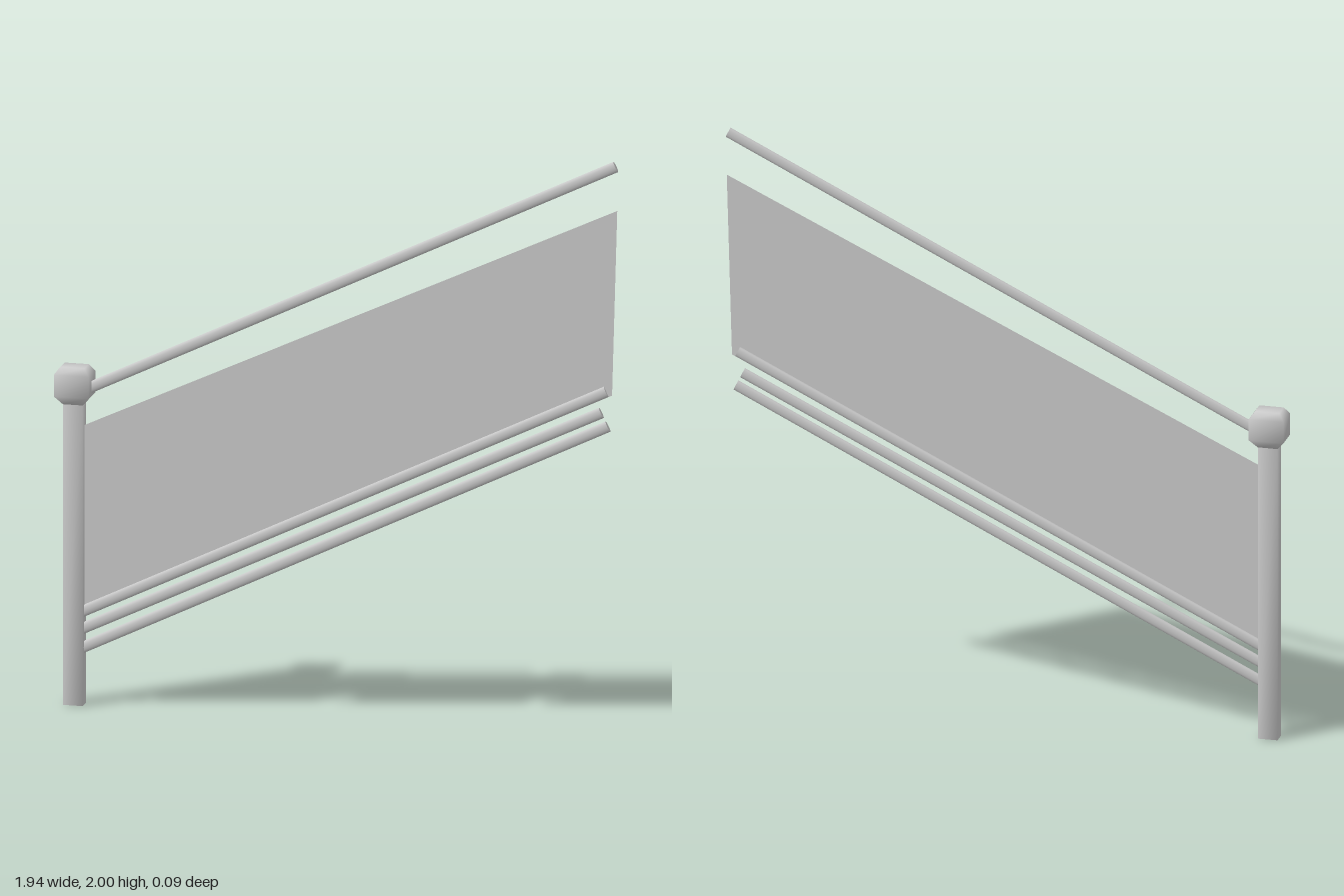
import * as THREE from 'three';

const material = new THREE.MeshStandardMaterial({ color: 0xcccccc, side: THREE.DoubleSide });

// Solid made of stacked rectangles [y, halfWidth, halfDepth], closed at both ends
function stackedBox(sections) {
  const points = [], index = [];
  for (const [y, w, d] of sections) points.push(-w, y, d, w, y, d, w, y, -d, -w, y, -d);
  for (let s = 0; s < sections.length - 1; s++) {
    for (let i = 0; i < 4; i++) {
      const a = s * 4 + i, b = s * 4 + (i + 1) % 4;
      index.push(a, b, b + 4, a, b + 4, a + 4);
    }
  }
  const t = (sections.length - 1) * 4;
  index.push(0, 2, 1, 0, 3, 2, t, t + 1, t + 2, t, t + 2, t + 3);
  const geometry = new THREE.BufferGeometry();
  geometry.setAttribute('position', new THREE.Float32BufferAttribute(points, 3));
  geometry.setIndex(index);
  geometry.computeVertexNormals();
  return geometry;
}

// Flattened round bar between two points in the z = 0 plane
function bar(x1, y1, x2, y2) {
  const length = Math.hypot(x2 - x1, y2 - y1);
  const geometry = new THREE.CylinderGeometry(0.019, 0.019, length, 12);
  geometry.scale(1, 1, 0.42);
  geometry.rotateZ(Math.atan2(y2 - y1, x2 - x1) - Math.PI / 2);
  geometry.translate((x1 + x2) / 2, (y1 + y2) / 2, 0);
  return geometry;
}

export function createModel() {
  const group = new THREE.Group();
  const add = (name, geometry, x = 0) => {
    const mesh = new THREE.Mesh(geometry, material);
    mesh.name = name;
    mesh.position.x = x;
    group.add(mesh);
  };

  // Newel post with its bevelled cap
  const postX = -0.914;
  add('post', stackedBox([[0, 0.034, 0.024], [1.05, 0.034, 0.024]]), postX);
  add('postCap', stackedBox([
    [1.04, 0.034, 0.024], [1.07, 0.06, 0.045], [1.145, 0.06, 0.045], [1.17, 0.042, 0.03],
  ]), postX);

  // Sloping handrail and lower rails
  add('handrail', bar(-0.89, 1.083, 0.958, 1.982));
  add('panelRail', bar(-0.9, 0.315, 0.925, 1.202));
  add('middleRail', bar(-0.9, 0.256, 0.908, 1.128));
  add('bottomRail', bar(-0.9, 0.19, 0.931, 1.082));

  // Thin infill panel
  const outline = new THREE.Shape([[-0.9, 0.3], [0.945, 1.19], [0.963, 1.83], [-0.9, 0.957]]
    .map(([x, y]) => new THREE.Vector2(x, y)));
  add('panel', new THREE.ShapeGeometry(outline));

  return group;
}
